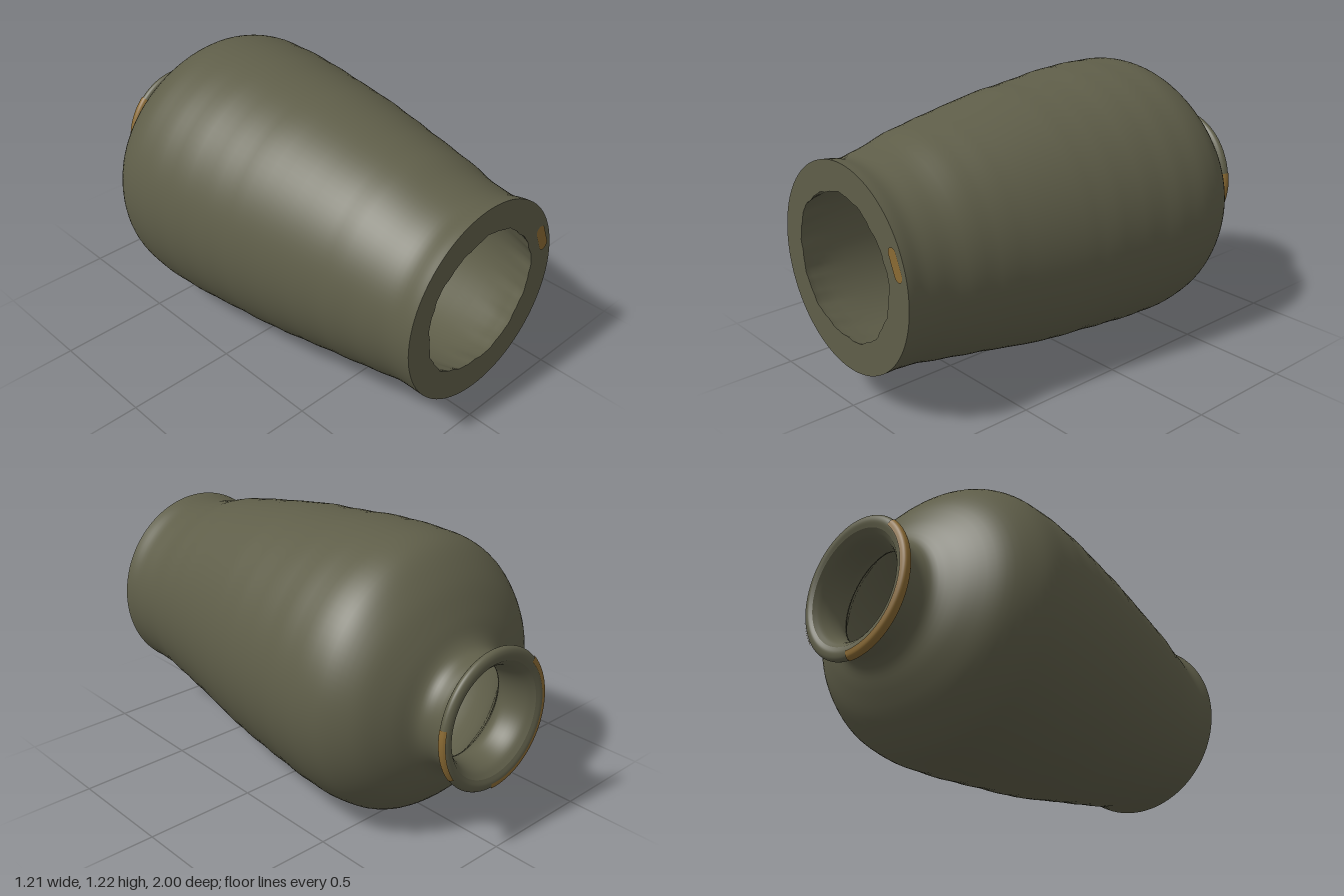
import * as THREE from 'three';

const clay = new THREE.MeshStandardMaterial({ color: 0x5f5e49 });
clay.name = 'olive clay';
const ochre = new THREE.MeshStandardMaterial({ color: 0x8a6a33 });
ochre.name = 'ochre wear';

// Stations along the jar: [z, centre x, centre y, radius x, radius y]
const OUTER = [
  [1.0, 0, 0.61, 0.43, 0.438], [0.97, 0, 0.608, 0.43, 0.436], [0.9, 0, 0.603, 0.426, 0.432],
  [0.8, -0.003, 0.603, 0.434, 0.448], [0.65, -0.005, 0.61, 0.458, 0.485], [0.5, -0.005, 0.612, 0.481, 0.513],
  [0.2, -0.003, 0.611, 0.532, 0.565], [0, -0.002, 0.612, 0.563, 0.582], [-0.2, -0.003, 0.613, 0.587, 0.602],
  [-0.36, -0.001, 0.612, 0.602, 0.608], [-0.5, 0, 0.612, 0.6, 0.602], [-0.6, 0.003, 0.61, 0.573, 0.566],
  [-0.7, 0.01, 0.602, 0.5, 0.472], [-0.77, 0.022, 0.594, 0.385, 0.365], [-0.81, 0.036, 0.59, 0.285, 0.29],
  [-0.85, 0.042, 0.59, 0.25, 0.254], [-0.9, 0.042, 0.59, 0.244, 0.25], [-0.935, 0.04, 0.59, 0.25, 0.25],
];
const LIP = [
  [-0.935, 0.04, 0.59, 0.25, 0.25], [-0.946, 0.037, 0.59, 0.272, 0.284], [-0.957, 0.036, 0.59, 0.284, 0.301],
  [-0.972, 0.036, 0.59, 0.287, 0.304], [-0.984, 0.036, 0.59, 0.277, 0.294], [-0.988, 0.037, 0.59, 0.258, 0.272],
  [-0.98, 0.039, 0.59, 0.238, 0.248],
];
const INNER = [
  [-0.98, 0.039, 0.59, 0.238, 0.248], [-0.95, 0.042, 0.592, 0.215, 0.22], [-0.9, 0.045, 0.594, 0.197, 0.205],
  [-0.84, 0.043, 0.594, 0.198, 0.204], [-0.78, 0.03, 0.595, 0.25, 0.25], [-0.7, 0.015, 0.6, 0.36, 0.36],
  [-0.58, 0, 0.61, 0.46, 0.46], [-0.4, 0, 0.612, 0.51, 0.515], [0, 0, 0.612, 0.47, 0.485],
  [0.5, 0, 0.612, 0.395, 0.41], [0.85, -0.005, 0.613, 0.345, 0.345], [0.96, -0.008, 0.615, 0.322, 0.32],
  [1.0, -0.008, 0.615, 0.31, 0.307],
];
const BASE = [INNER[INNER.length - 1], OUTER[0]];

// Skins the stations with smoothly blended rings from angle a0 to a1 (degrees);
// swell pushes the skin out, wobble(theta, z) varies the radius.
function skin(name, stations, material, { a0 = 0, a1 = 360, segs = 96, steps = 4, swell = 0, wobble = () => 0 } = {}) {
  const sizes = new THREE.CatmullRomCurve3(stations.map(s => new THREE.Vector3(s[0], s[3], s[4])), false, 'catmullrom');
  const centres = new THREE.CatmullRomCurve3(stations.map(s => new THREE.Vector3(s[1], s[2], 0)), false, 'catmullrom');
  const rows = (stations.length - 1) * steps;
  const full = a1 - a0 === 360;
  const cols = full ? segs : segs + 1;
  const pos = [], index = [];
  for (let i = 0; i <= rows; i++) {
    const p = sizes.getPoint(i / rows), c = centres.getPoint(i / rows);
    for (let j = 0; j < cols; j++) {
      const a = THREE.MathUtils.degToRad(a0 + (a1 - a0) * j / segs);
      const grow = swell + wobble(a, p.x);
      const dx = Math.cos(a) * (p.y + grow), dy = Math.sin(a) * (p.z + grow);
      // The mouth leans slightly to one side
      const lean = THREE.MathUtils.smoothstep(-p.x, 0.88, 0.95) * 0.04 * dx;
      const back = swell && p.x < -0.975 ? swell : 0;
      pos.push(c.x + dx, c.y + dy, p.x + lean - back);
    }
  }
  for (let i = 0; i < rows; i++) {
    for (let j = 0; j < segs; j++) {
      const k = full ? (j + 1) % cols : j + 1;
      const a = i * cols + j, b = i * cols + k, c = a + cols, d = b + cols;
      index.push(a, c, b, b, c, d);
    }
  }
  const geo = new THREE.BufferGeometry();
  geo.setAttribute('position', new THREE.Float32BufferAttribute(pos, 3));
  geo.setIndex(index);
  geo.computeVertexNormals();
  const mesh = new THREE.Mesh(geo, material);
  mesh.name = name;
  return mesh;
}

// Hand-thrown unevenness: faint rings outside, a ragged edge inside the foot
const rings = (a, z) => z < -0.75 ? 0 :
  0.0015 * Math.sin(z * 38 + a) * THREE.MathUtils.smoothstep(z, -0.75, -0.3) * THREE.MathUtils.smoothstep(1 - z, 0, 0.1);
const ragged = (a, z) => {
  const w = THREE.MathUtils.smoothstep(z, 0.8, 1);
  return w * (0.004 * Math.sin(5 * a + 1) + 0.003 * Math.sin(13 * a) + 0.002 * Math.sin(29 * a));
};

export function createModel() {
  const jar = new THREE.Group();
  jar.name = 'jar';

  // Hollow vessel lying on its side, mouth towards the back
  jar.add(skin('body', OUTER, clay, { wobble: rings }));
  jar.add(skin('lip', LIP, clay));
  jar.add(skin('innerWall', INNER, clay, { wobble: ragged }));
  // Ragged hole only on the inner row of the foot ring
  const foot = skin('footRing', BASE, clay, { steps: 1 });
  const p = foot.geometry.attributes.position;
  for (let j = 0; j < 96; j++) {
    const a = j / 96 * Math.PI * 2, r = ragged(a, 1);
    p.setXY(j, p.getX(j) + Math.cos(a) * r, p.getY(j) + Math.sin(a) * r);
  }
  jar.add(foot);

  // Worn patches on the lip
  const edge = LIP.slice(1, 6);
  jar.add(skin('lipWearLong', edge, ochre, { a0: 134, a1: 272, segs: 40, swell: 0.003 }));
  jar.add(skin('lipWearShort', edge.slice(0, 4), ochre, { a0: -36, a1: 10, segs: 14, swell: 0.003 }));

  // Worn patch on the foot: a flat rounded bar
  const bar = new THREE.Shape();
  bar.absarc(0, 0.043, 0.025, 0, Math.PI);
  bar.absarc(0, -0.043, 0.025, Math.PI, Math.PI * 2);
  const footWear = new THREE.Mesh(new THREE.ShapeGeometry(bar, 8), ochre);
  footWear.name = 'footWear';
  footWear.position.set(0.357, 0.742, 1.003);
  footWear.rotation.z = 0.4;
  jar.add(footWear);

  return jar;
}
